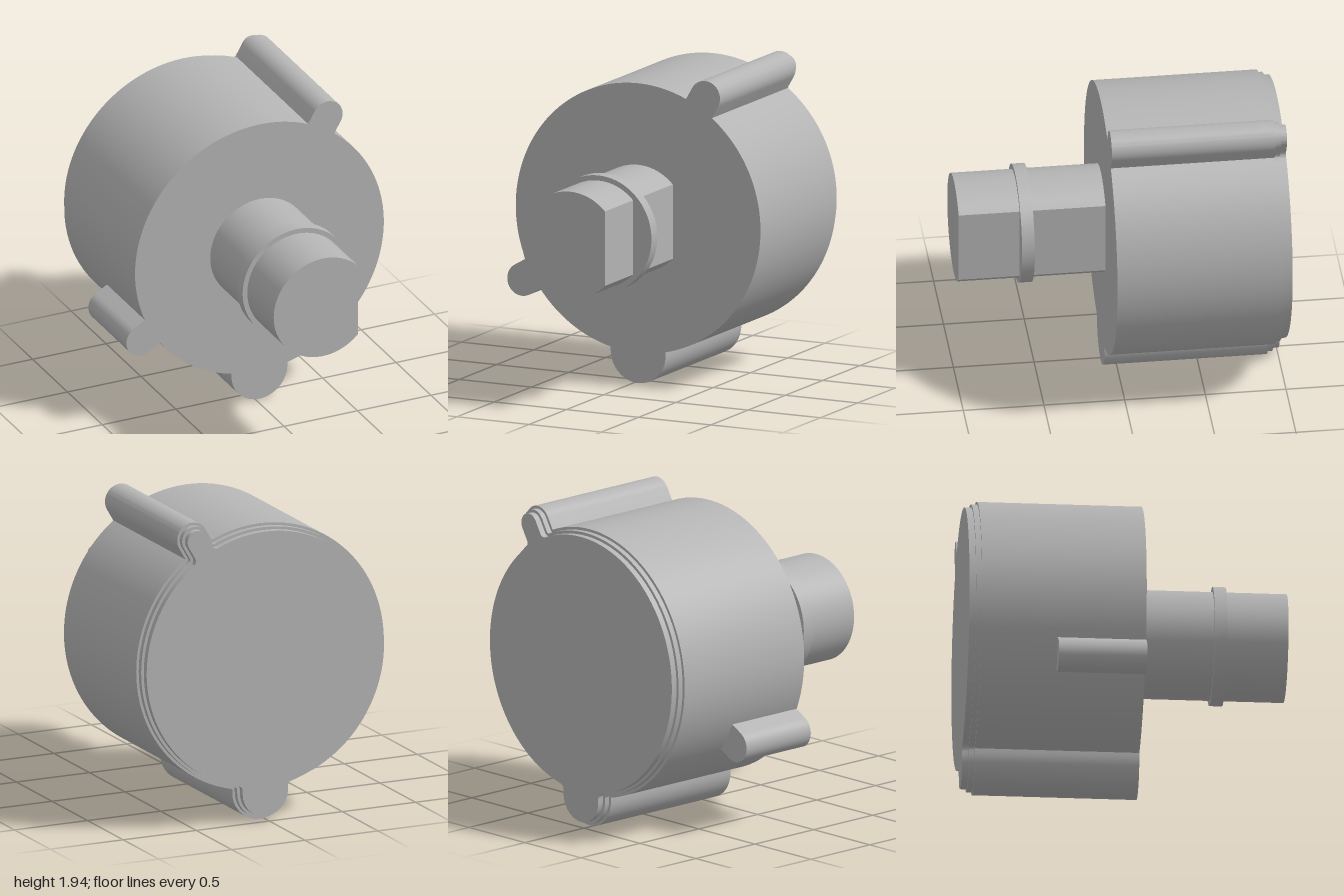
import * as THREE from 'three';
import { toCreasedNormals } from 'three/addons/utils/BufferGeometryUtils.js';

const CX = 0.027, CY = 1.037, R = 0.847; // shared axis and housing radius
const rad = THREE.MathUtils.degToRad;

// Lobes around the housing: direction, distance of tip centre, half width
const topLobe = { angle: rad(60), dist: 0.927, w: 0.103 };
const sideLobe = { angle: rad(210), dist: 0.927, w: 0.103 };
const bottomLobe = { angle: rad(270), dist: 0.847, w: 0.19 };

// Points along an arc
function arc(cx, cy, r, a0, a1, n) {
  return Array.from({ length: n + 1 }, (_, i) => {
    const a = a0 + ((a1 - a0) * i) / n;
    return new THREE.Vector2(cx + r * Math.cos(a), cy + r * Math.sin(a));
  });
}

// Counter-clockwise lobe outline, inset by d with rounded inner corners
function lobePoints({ angle, dist, w }, d) {
  const u = Math.sqrt(R * R - w * w), half = Math.asin(w / R);
  const tip = arc(dist, 0, w - d, -Math.PI / 2, Math.PI / 2, 28);
  const start = d ? arc(u, -w, d, Math.PI - half, Math.PI / 2, 8) : [new THREE.Vector2(u, -w)];
  const end = start.map((p) => new THREE.Vector2(p.x, -p.y)).reverse();
  return [...start, ...tip, ...end].map((p) => p.rotateAround(new THREE.Vector2(), angle));
}

// Round housing outline with its two full-length lobes
function housingPoints(d) {
  const halfT = Math.asin(topLobe.w / R), halfB = Math.asin(bottomLobe.w / R);
  const a = topLobe.angle, b = bottomLobe.angle;
  return [
    ...lobePoints(topLobe, d),
    ...arc(0, 0, R - d, a + halfT, b - halfB, 90).slice(1, -1),
    ...lobePoints(bottomLobe, d),
    ...arc(0, 0, R - d, b + halfB, a + 2 * Math.PI - halfT, 64).slice(1, -1),
  ];
}

export function createModel() {
  const group = new THREE.Group();
  const grey = new THREE.MeshStandardMaterial({ color: 0xb4b4b4 });
  grey.name = 'grey';

  function addPrism(name, points, z0, z1) {
    const geo = new THREE.ExtrudeGeometry(new THREE.Shape(points), { depth: z1 - z0, bevelEnabled: false });
    const mesh = new THREE.Mesh(toCreasedNormals(geo, 0.5), grey);
    mesh.name = name;
    mesh.position.set(CX, CY, z0);
    group.add(mesh);
  }

  // Housing with two stepped rims at the back
  addPrism('housing', housingPoints(0), -0.925, 0.09);
  addPrism('rearStep', housingPoints(0.017), -0.96, -0.925);
  addPrism('rearCover', housingPoints(0.035), -1, -0.96);

  // Short side lobe, closed along the housing wall
  const h = Math.asin(sideLobe.w / R);
  const wall = arc(0, 0, R - 0.003, sideLobe.angle + h, sideLobe.angle - h, 8).slice(1, -1);
  addPrism('sideLobe', [...lobePoints(sideLobe, 0), ...wall], -0.455, 0.09);

  // Shaft with one flat side, and its collar
  const flat = Math.acos(0.24 / 0.335);
  addPrism('shaft', arc(0, 0, 0.335, flat, 2 * Math.PI - flat, 72), 0.09, 1);
  addPrism('collar', arc(0, 0, 0.367, 0, 2 * Math.PI, 80).slice(0, -1), 0.543, 0.622);

  return group;
}
